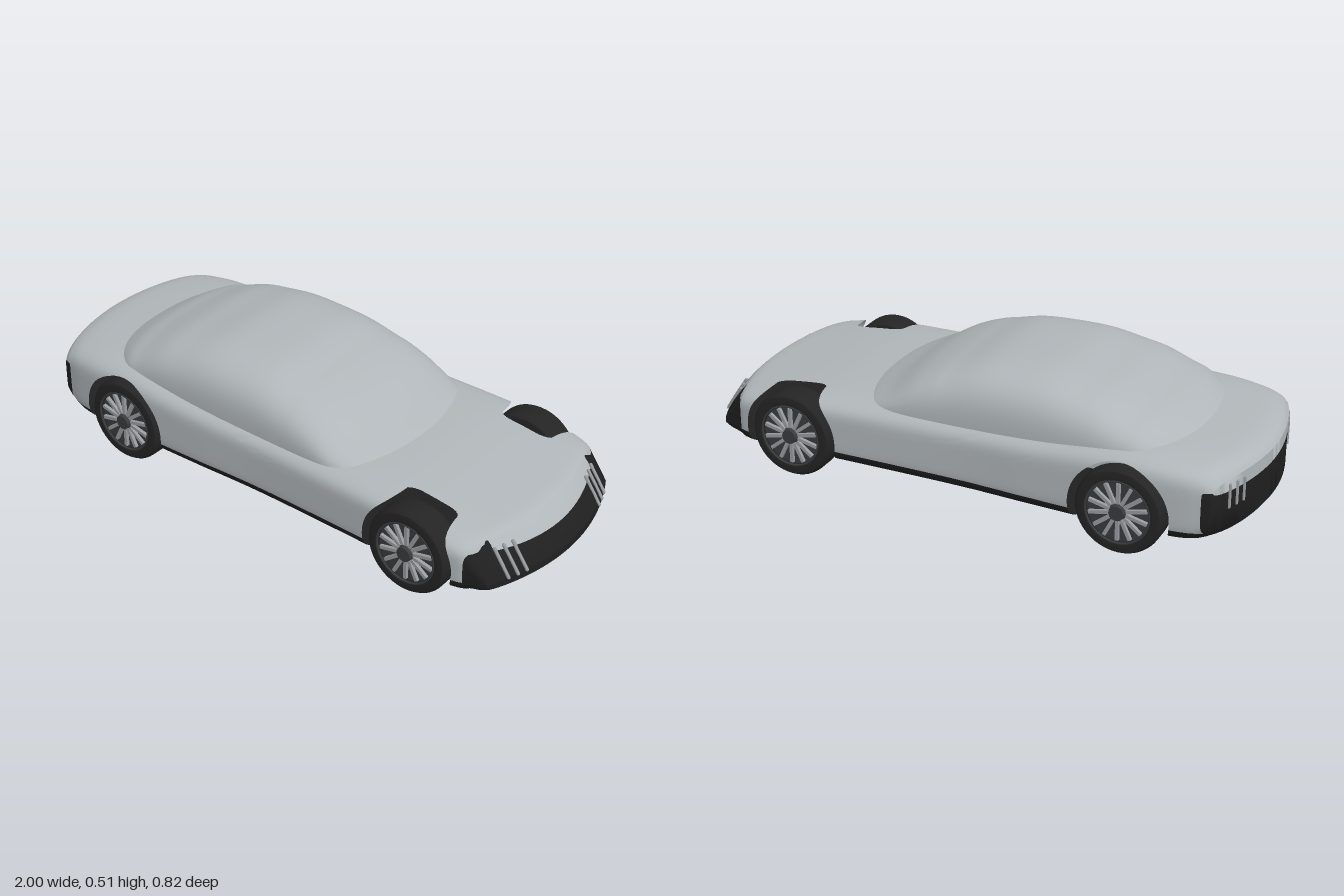
import * as THREE from 'three';
import { toCreasedNormals } from 'three/addons/utils/BufferGeometryUtils.js';

const mat = (name, color, side = THREE.FrontSide) => {
  const m = new THREE.MeshStandardMaterial({ color, side });
  m.name = name;
  return m;
};

// Smooth interpolation through rows of numbers, t in 0..1
function sample(rows, t) {
  const f = t * (rows.length - 1), i = Math.min(Math.floor(f), rows.length - 2);
  const at = (k) => rows[Math.max(0, Math.min(rows.length - 1, k))];
  const [a, b, c, d] = [at(i - 1), at(i), at(i + 1), at(i + 2)], u = f - i;
  return b.map((q, k) => q + 0.5 * u * (c[k] - a[k] + u * (2 * a[k] - 5 * q + 4 * c[k] - d[k]
    + u * (3 * (q - c[k]) + d[k] - a[k]))));
}

// Point on a rounded square of exponent n
function squircle(angle, n) {
  const c = Math.cos(angle), s = Math.sin(angle);
  const r = (Math.abs(c) ** n + Math.abs(s) ** n) ** (-1 / n);
  return [c * r, s * r];
}

// Surface made by moving the vertices of a grid: fn(column, v) -> [x, y, z]
function loft(nu, nv, fn) {
  const geo = new THREE.PlaneGeometry(1, 1, nu, nv), p = geo.attributes.position;
  for (let i = 0; i < p.count; i++) {
    p.setXYZ(i, ...fn(Math.round((p.getX(i) + 0.5) * nu), p.getY(i) + 0.5));
  }
  return toCreasedNormals(geo, 0.7);
}

// Cut triangles along f = 0, returning the [negative, positive] sides
function split(tris, f) {
  const out = [[], []];
  for (const tri of tris) {
    const val = tri.map((v) => f(v[0], v[1], v[2]));
    [-1, 1].forEach((sign, side) => {
      const poly = [];
      tri.forEach((a, i) => {
        const j = (i + 1) % 3, b = tri[j], fa = val[i] * sign, fb = val[j] * sign;
        if (fa >= 0) poly.push(a);
        if (fa * fb < 0) poly.push(a.map((q, k) => q + (b[k] - q) * fa / (fa - fb)));
      });
      for (let i = 2; i < poly.length; i++) out[side].push([poly[0], poly[i - 1], poly[i]]);
    });
  }
  return out;
}

function toTris(geo) {
  const p = geo.attributes.position.array, n = geo.attributes.normal.array, tris = [];
  const vert = (i) => [...p.slice(i, i + 3), ...n.slice(i, i + 3)];
  for (let i = 0; i < p.length; i += 9) tris.push([vert(i), vert(i + 3), vert(i + 6)]);
  return tris;
}

function fromTris(tris) {
  const geo = new THREE.BufferGeometry(), v = tris.flat();
  geo.setAttribute('position', new THREE.Float32BufferAttribute(v.flatMap((q) => q.slice(0, 3)), 3));
  geo.setAttribute('normal', new THREE.Float32BufferAttribute(v.flatMap((q) => q.slice(3)), 3));
  return geo;
}

export function createModel() {
  const car = new THREE.Group();
  car.name = 'car';
  const paint = mat('silver paint', 0xb0b6b9, THREE.DoubleSide);
  const trim = mat('black trim', 0x1f1f1f, THREE.DoubleSide);
  const rubber = mat('tyre rubber', 0x242424);
  const rimDark = mat('dark rim', 0x3a3b3d);
  const alloy = mat('alloy', 0x9a9da0);
  const add = (parent, name, geo, material, x = 0, y = 0, z = 0) => {
    const m = new THREE.Mesh(geo, material);
    m.name = name;
    m.position.set(x, y, z);
    parent.add(m);
    return m;
  };

  // Lower body: x, half width, bottom, top
  const bodyRows = [
    [-1, 0.37, 0.13, 0.31], [-0.97, 0.378, 0.1, 0.335], [-0.88, 0.39, 0.075, 0.352],
    [-0.6, 0.402, 0.07, 0.365], [-0.3, 0.396, 0.07, 0.342], [0, 0.386, 0.07, 0.328],
    [0.43, 0.394, 0.07, 0.32], [0.6, 0.402, 0.07, 0.308], [0.76, 0.4, 0.07, 0.287],
    [0.88, 0.39, 0.075, 0.27], [0.92, 0.38, 0.085, 0.248], [0.97, 0.37, 0.1, 0.195],
    [1, 0.36, 0.12, 0.15],
  ];
  const NU = 150;
  const body = loft(NU, 112, (col, v) => {
    const [s, w, lo, hi] = sample(bodyRows, Math.max(0, Math.min(1, (col - 1) / (NU - 2))));
    const [c, q] = squircle(2 * Math.PI * v - Math.PI / 2, 5.7);
    const closed = col === 0 || col === NU ? 0 : 1;
    const z = w * c, y = (lo + hi) / 2 + closed * q * (hi - lo) / 2;
    const k = Math.max(0, Math.min(1, (Math.abs(s) - 0.7) / 0.3));
    return [s - Math.sign(s) * 0.09 * k * k * (3 - 2 * k) * (z / 0.37) ** 2, y, z];
  });

  // Open wheel arches
  const axles = [-0.607, 0.622], axleY = 0.155;
  let shell = toTris(body);
  for (const ax of axles) {
    shell = split(shell, (x, y, z) =>
      Math.min(0.176 - Math.hypot(x - ax, y - axleY), Math.abs(z) - 0.26))[0];
  }

  // Sill and floor, then grille, lamp corners and tail panel in black
  const [upper, lower] = split(shell, (x, y) => 0.13 - y);
  const [painted, black] = split(upper, (x, y, z) => {
    const bow = 0.09 * (z / 0.37) ** 2;
    return Math.max(
      Math.min(x + bow - 0.93, 0.21 + 0.2 * z * z - y),
      Math.min(x - 0.86, Math.abs(z) - 0.29),
      Math.min(-0.975 - (x - bow), 0.28 - y));
  });
  add(car, 'bodyShell', fromTris(painted), paint);
  add(car, 'sillAndFloor', fromTris(lower), trim);
  add(car, 'grilleAndTailPanel', fromTris(black), trim);

  // Cabin dome: x, half width, roof height
  const cabinRows = [
    [-0.79, 0.3, 0.35], [-0.69, 0.345, 0.408], [-0.61, 0.352, 0.436], [-0.51, 0.355, 0.472],
    [-0.42, 0.356, 0.49], [-0.31, 0.356, 0.51], [-0.2, 0.355, 0.513], [-0.056, 0.352, 0.505],
    [0.06, 0.351, 0.476], [0.125, 0.351, 0.458], [0.21, 0.35, 0.425], [0.31, 0.345, 0.368],
    [0.39, 0.325, 0.33], [0.43, 0.27, 0.31],
  ];
  add(car, 'cabin', loft(80, 60, (col, v) => {
    const [s, w, top] = sample(cabinRows, col / 80);
    const [c, q] = squircle(Math.PI * v, 3.8);
    const z = w * c;
    const k = s < 0 ? Math.max(0, (-s - 0.45) / 0.34) : -Math.max(0, (s - 0.1) / 0.33);
    return [s + 0.07 * k * (z / 0.35) ** 2, 0.27 + (top - 0.27) * q, z];
  }), paint);

  // Upright bars on nose and tail
  for (const side of [-1, 1]) {
    for (const z of [0.22, 0.255, 0.29]) {
      const bow = 0.09 * (z / 0.37) ** 2;
      const bar = add(car, 'noseBar', new THREE.CapsuleGeometry(0.006, 0.105, 4, 8), alloy,
        0.974 - bow, 0.192, side * z);
      bar.rotation.z = 0.6;
      add(car, 'tailBar', new THREE.CapsuleGeometry(0.006, 0.08, 4, 8), alloy,
        -1 + bow, 0.245, side * z);
    }
  }

  // Wheels
  const tyreProfile = [[0, -0.055], [0.12, -0.055], [0.145, -0.051], [0.153, -0.04], [0.155, -0.03],
    [0.155, 0.03], [0.153, 0.04], [0.145, 0.051], [0.125, 0.055], [0.113, 0.053], [0.11, 0.036],
    [0, 0.036]].map(([r, y]) => new THREE.Vector2(r, y));
  const tyreGeo = toCreasedNormals(new THREE.LatheGeometry(tyreProfile, 48).rotateX(Math.PI / 2), 0.7);
  const discGeo = new THREE.CylinderGeometry(0.11, 0.11, 0.006, 40).rotateX(Math.PI / 2);
  const ringGeo = new THREE.TorusGeometry(0.112, 0.004, 8, 48);
  const hubGeo = new THREE.CylinderGeometry(0.026, 0.03, 0.028, 24).rotateX(Math.PI / 2);
  const spokeGeo = new THREE.BoxGeometry(0.012, 0.074, 0.012).translate(0, 0.067, 0);
  for (const ax of axles) {
    for (const side of [-1, 1]) {
      const wheel = new THREE.Group();
      wheel.name = 'wheel';
      wheel.position.set(ax, axleY, side * 0.346);
      if (side < 0) wheel.rotation.y = Math.PI;
      add(wheel, 'tyre', tyreGeo, rubber);
      add(wheel, 'rimDisc', discGeo, rimDark, 0, 0, 0.036);
      add(wheel, 'rimRing', ringGeo, rimDark, 0, 0, 0.052);
      add(wheel, 'hubCap', hubGeo, rimDark, 0, 0, 0.048);
      for (let i = 0; i < 14; i++) {
        add(wheel, 'spoke', spokeGeo, alloy, 0, 0, 0.045).rotation.z = (i / 14) * Math.PI * 2;
      }
      car.add(wheel);
    }
  }
  return car;
}
